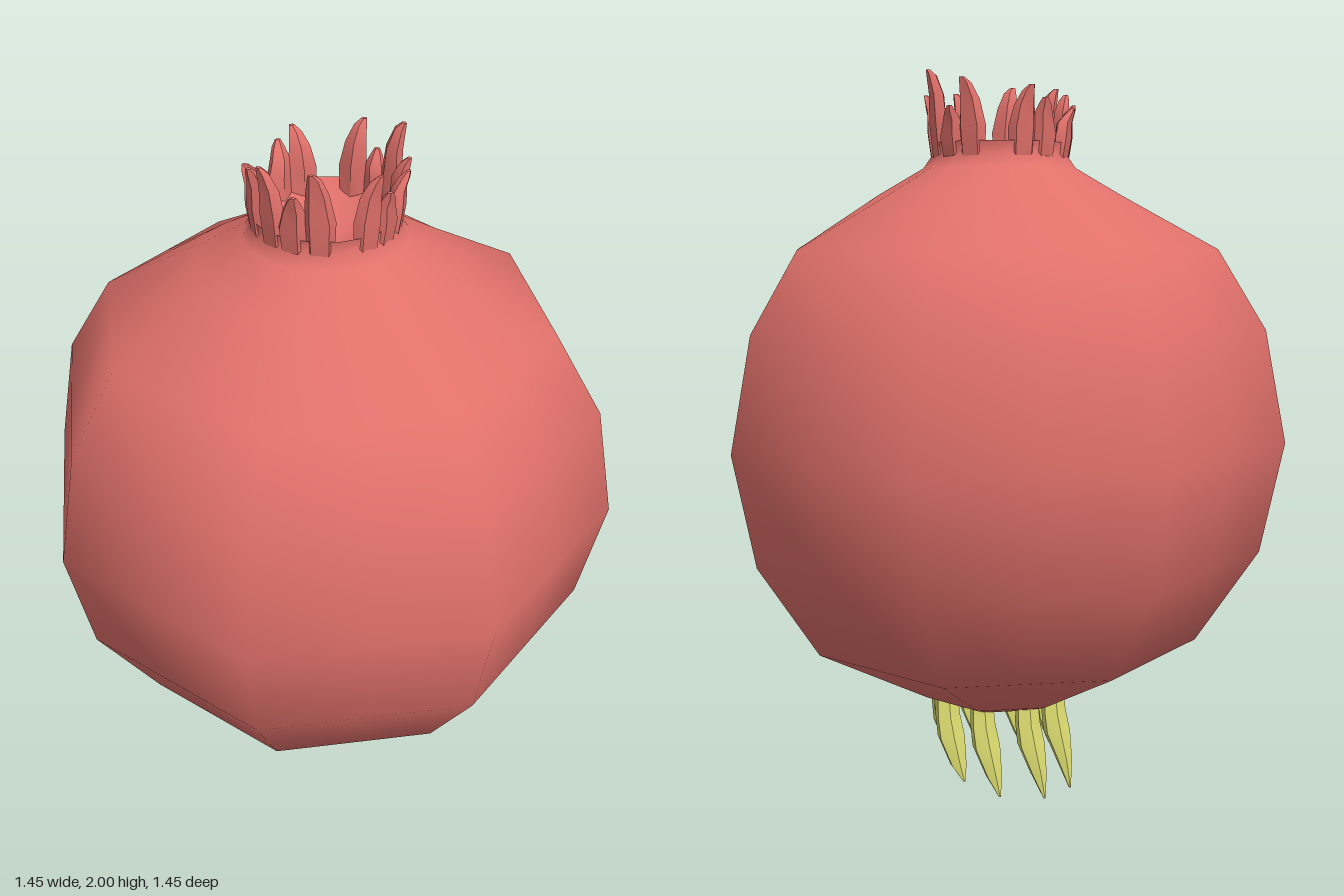
import * as THREE from 'three';
import { toCreasedNormals } from 'three/addons/utils/BufferGeometryUtils.js';

const red = new THREE.MeshStandardMaterial({ color: 0xe0706a });
const redOpen = new THREE.MeshStandardMaterial({ color: 0xe0706a, side: THREE.DoubleSide });
const green = new THREE.MeshStandardMaterial({ color: 0xdcdc70 });

// Closed loft through sections [x, y, z, halfWidth, halfDepth], listed from bottom to top
function loft(sections, sides, crease) {
  const first = sections[0], last = sections[sections.length - 1];
  const rings = [[...first.slice(0, 3), 0, 0], ...sections, [...last.slice(0, 3), 0, 0]];
  const pos = [], index = [];
  rings.forEach(([x, y, z, w, d], i) => {
    for (let j = 0; j < sides; j++) {
      const a = ((j + 0.5) / sides) * Math.PI * 2;
      pos.push(x + Math.sin(a) * w, y, z + Math.cos(a) * d);
      if (i === rings.length - 1) continue;
      const p = i * sides + j, q = i * sides + ((j + 1) % sides);
      index.push(p, q, p + sides, q, q + sides, p + sides);
    }
  });
  const geo = new THREE.BufferGeometry();
  geo.setAttribute('position', new THREE.Float32BufferAttribute(pos, 3));
  geo.setIndex(index);
  geo.computeVertexNormals();
  return toCreasedNormals(geo, crease);
}

function add(parent, name, geometry, material) {
  const mesh = new THREE.Mesh(geometry, material);
  mesh.name = name;
  parent.add(mesh);
  return mesh;
}

// Eight-sided fruit whose outline rounds off towards the neck
function fruitGeometry() {
  const flat = Math.cos(Math.PI / 8);
  const profile = [
    [0, 0.25], [0.14, 0.25], [0.22, 0.285], [0.515, 0.46], [0.67, 0.72], [0.725, 1.02],
    [0.67, 1.32], [0.55, 1.53], [0.33, 1.675], [0.21, 1.745], [0.185, 1.78], [0.19, 1.81],
  ];
  const geo = new THREE.LatheGeometry(
    profile.map(([r, y]) => new THREE.Vector2(r / (y > 1.6 ? 1 : flat), y)), 16, Math.PI / 8);
  const p = geo.attributes.position;
  const rows = profile.length;
  // Pull every second column onto the flat between its neighbours
  for (let i = 0; i < p.count; i++) {
    const column = Math.floor(i / rows);
    if (column % 2 === 1 && p.getY(i) < 1.6) {
      p.setX(i, p.getX(i) * flat);
      p.setZ(i, p.getZ(i) * flat);
    }
  }
  return geo;
}

export function createModel() {
  const model = new THREE.Group();
  model.name = 'fruit';
  add(model, 'body', fruitGeometry(), red);

  // Hollow inside the crown
  const bowl = [[0, 1.7], [0.1, 1.73], [0.165, 1.78], [0.19, 1.81]]
    .map(([r, y]) => new THREE.Vector2(r, y));
  add(model, 'crownHollow', new THREE.LatheGeometry(bowl, 16), redOpen);

  // Crown petals: tip x, tip z, tip height
  const crown = new THREE.Group();
  crown.name = 'crown';
  model.add(crown);
  const petals = [
    [0.18, 0.1, 2.0], [0.19, 0.03, 1.9], [0.18, -0.04, 1.97], [0.1, -0.15, 1.95],
    [0.04, -0.19, 1.92], [-0.05, -0.17, 1.9], [-0.11, -0.17, 1.91], [-0.17, -0.11, 1.95],
    [-0.19, -0.03, 1.97], [-0.18, 0.03, 1.92], [-0.16, 0.1, 1.98], [-0.06, 0.17, 1.96],
    [0, 0.19, 1.91], [0.07, 0.17, 1.92], [0.13, 0.15, 1.94],
  ];
  petals.forEach(([x, z, top], i) => {
    const h = top - 1.77;
    const lean = i % 2 ? 0.012 : -0.012;
    const geo = loft([
      [0, 1.77, 0.172, 0.036, 0.018],
      [0, 1.77 + h * 0.4, 0.178, 0.04, 0.022],
      [lean * 0.5, 1.77 + h * 0.72, 0.18, 0.03, 0.02],
      [lean, top - 0.015, 0.192, 0.018, 0.014],
      [lean * 1.5, top, 0.2, 0.008, 0.006],
    ], 5, 0.7);
    add(crown, 'petal', geo, red).rotation.y = Math.atan2(x, z);
  });

  // Ring of pointed leaves under the fruit, all swept towards the back
  const leaves = new THREE.Group();
  leaves.name = 'lowerLeaves';
  model.add(leaves);
  for (let i = 0; i < 8; i++) {
    const a = ((i + 0.5) / 8) * Math.PI * 2;
    const geo = loft([
      [0.005, (i * 3 % 4) * 0.012, -0.055, 0.003, 0.003],
      [0, 0.08, -0.03, 0.026, 0.022],
      [0, 0.16, -0.004, 0.045, 0.036],
      [0, 0.22, 0.008, 0.042, 0.032],
      [0, 0.29, 0.012, 0.038, 0.028],
    ], 6, 0.8);
    add(leaves, 'leaf', geo, green).position.set(Math.sin(a) * 0.165, 0, Math.cos(a) * 0.165);
  }
  return model;
}
